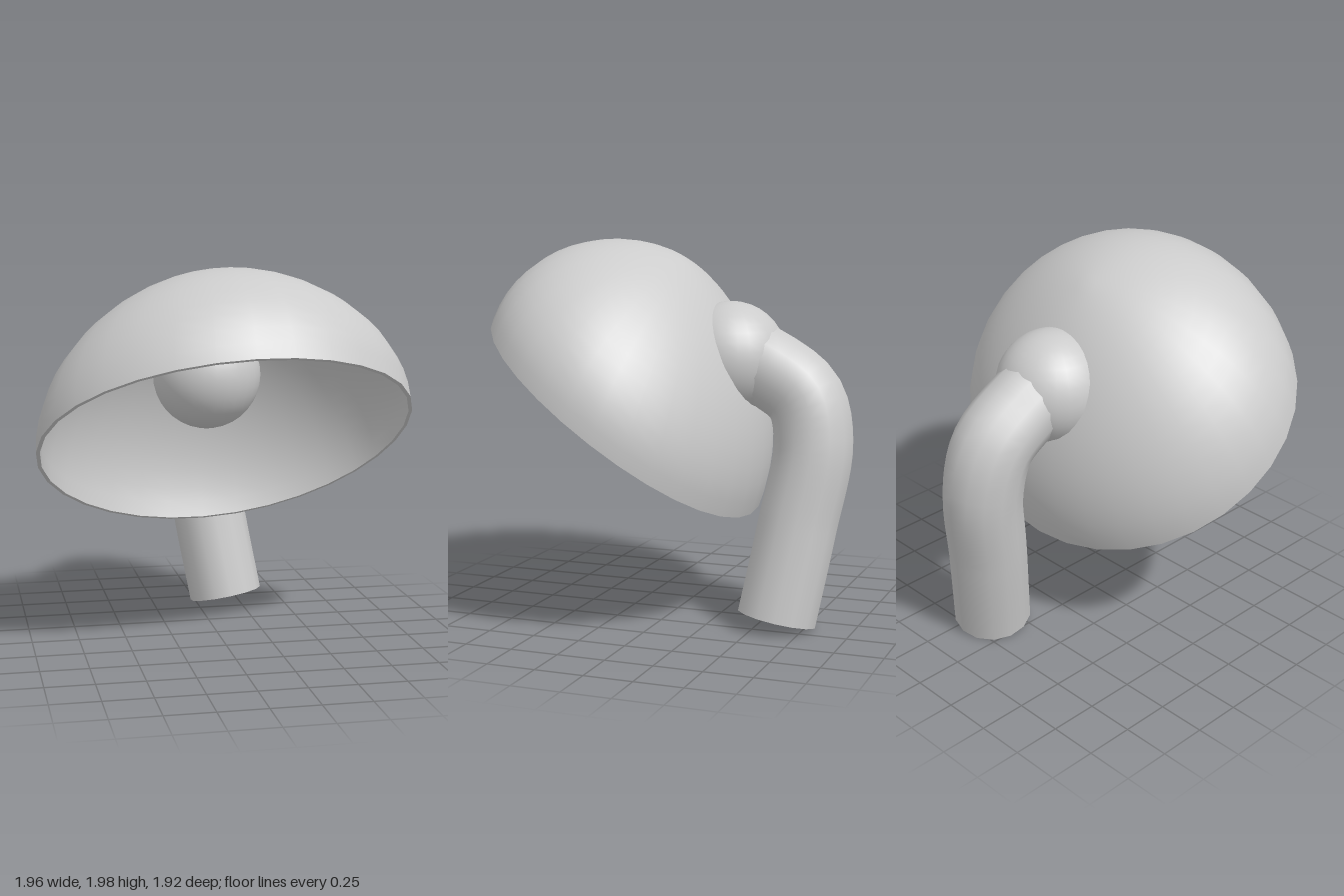
import * as THREE from 'three';
import { toCreasedNormals } from 'three/addons/utils/BufferGeometryUtils.js';

const material = new THREE.MeshStandardMaterial({ color: 0xcccccc });
const openMaterial = new THREE.MeshStandardMaterial({ color: 0xcccccc, side: THREE.DoubleSide });

function part(name, geometry, mat = material) {
  const mesh = new THREE.Mesh(geometry, mat);
  mesh.name = name;
  return mesh;
}

// Thin-walled dome: a unit lathe, stretched and leaned forward
function shadeGeometry() {
  const steps = 16;
  const profile = [];
  const arc = (i, scale) => {
    const a = (i / steps) * Math.PI / 2;
    const r = i === steps ? 0 : Math.pow(Math.cos(a), 1.2);
    return new THREE.Vector2(r * scale, Math.sin(a) * scale);
  };
  for (let i = steps; i >= 0; i--) profile.push(arc(i, 0.98)); // inside
  for (let i = 0; i <= steps; i++) profile.push(arc(i, 1));    // outside

  const geometry = new THREE.LatheGeometry(profile, 32);
  const pos = geometry.attributes.position;
  for (let i = 0; i < pos.count; i++) {
    const x = pos.getX(i), y = pos.getY(i), z = pos.getZ(i);
    const rimLift = 0.045 * x * (1 + x) * (1 - y);
    pos.setXYZ(i, 0.98 * x, 0.835 * y + rimLift, 0.86 * z + 0.21 * y);
  }
  return toCreasedNormals(geometry, 0.9);
}

export function createModel() {
  const group = new THREE.Group();

  // Tilted shade
  const shade = part('shade', shadeGeometry());
  shade.position.set(0, 1.07, 0.275);
  shade.rotation.x = -0.65;
  group.add(shade);

  // Ball joint passing through the back of the shade
  const ball = part('ballJoint', new THREE.SphereGeometry(0.295, 28, 18));
  ball.position.set(0, 1.375, -0.295);
  group.add(ball);

  // Bent hollow neck, open at the bottom
  const foot = new THREE.Vector3(0.17, 0.05, -0.61);
  const path = new THREE.CatmullRomCurve3([
    foot,
    new THREE.Vector3(0.09, 0.52, -0.69),
    new THREE.Vector3(0.03, 0.95, -0.755),
    new THREE.Vector3(0.005, 1.18, -0.70),
    new THREE.Vector3(0, 1.31, -0.53),
    new THREE.Vector3(0, 1.38, -0.38),
  ]);
  group.add(part('neck', new THREE.TubeGeometry(path, 28, 0.207, 14), openMaterial));

  // Two cable cores inside the neck, ending just within its opening
  const axis = new THREE.Vector3(-0.08, 0.47, -0.08).normalize();
  const length = 0.7;
  for (const [dx, dz] of [[0.08, 0.06], [0.09, -0.06]]) {
    const core = part('cableCore', new THREE.CylinderGeometry(0.052, 0.052, length, 14));
    const end = new THREE.Vector3(dx, 0, dz);
    end.addScaledVector(axis, -end.dot(axis)).add(foot);
    core.position.copy(end).addScaledVector(axis, length / 2 + 0.015);
    core.quaternion.setFromUnitVectors(new THREE.Vector3(0, 1, 0), axis);
    group.add(core);
  }

  return group;
}
